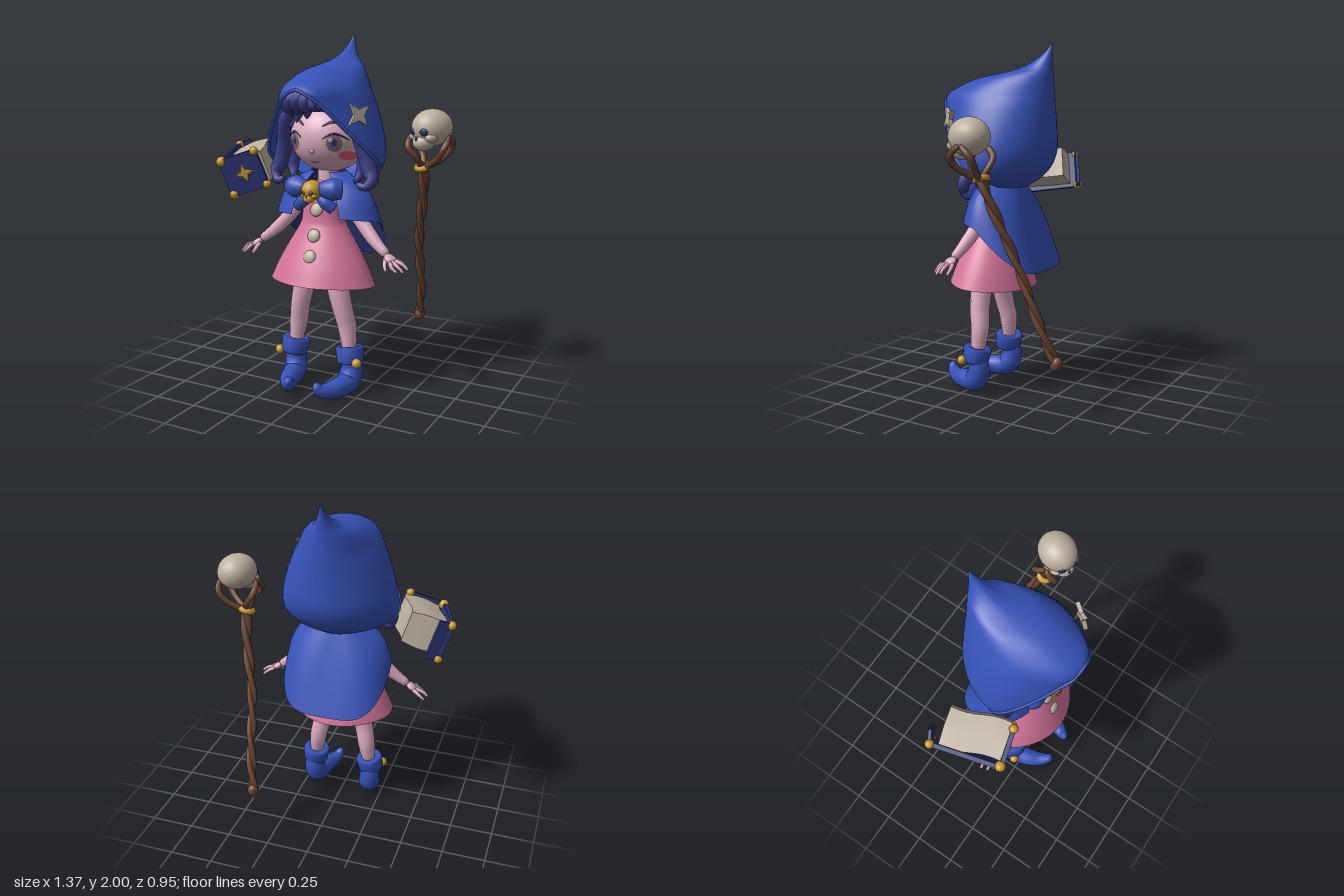
import * as THREE from 'three';
import { mergeVertices } from 'three/addons/utils/BufferGeometryUtils.js';

const V = (a) => new THREE.Vector3(...a);
const { lerp, clamp } = THREE.MathUtils;

// Smooth sheet from a function of (u, v)
function sheet(fn, nu, nv) {
  const pos = [], idx = [];
  for (let i = 0; i <= nu; i++) for (let j = 0; j <= nv; j++) {
    pos.push(...fn(i / nu, j / nv));
    if (i < nu && j < nv) {
      const a = i * (nv + 1) + j, b = a + nv + 1;
      idx.push(a, a + 1, b, b, a + 1, b + 1);
    }
  }
  const g = new THREE.BufferGeometry();
  g.setAttribute('position', new THREE.Float32BufferAttribute(pos, 3));
  g.setIndex(idx);
  g.computeVertexNormals();
  return g;
}

// Closed tube with a radius that changes along its path
function taper(points, radii, seg = 18, sides = 12) {
  const path = new THREE.CatmullRomCurve3(points.map(V));
  const g = new THREE.TubeGeometry(path, seg, 1, sides);
  const p = g.attributes.position, v = new THREE.Vector3();
  for (let i = 0; i <= seg; i++) {
    const c = path.getPointAt(i / seg), t = (i / seg) * (radii.length - 1);
    const k = Math.min(Math.floor(t), radii.length - 2);
    const r = i % seg ? lerp(radii[k], radii[k + 1], t - k) : 0;
    for (let j = 0; j <= sides; j++) {
      const n = i * (sides + 1) + j;
      v.fromBufferAttribute(p, n).sub(c).multiplyScalar(r).add(c);
      p.setXYZ(n, v.x, v.y, v.z);
    }
  }
  g.deleteAttribute('uv');
  g.deleteAttribute('normal');
  const m = mergeVertices(g, 1e-5);
  m.computeVertexNormals();
  return m;
}

// Catmull-Rom blend of table rows
function rowAt(rows, t) {
  const f = t * (rows.length - 1), i = Math.min(Math.floor(f), rows.length - 2), s = f - i;
  const R = (k) => rows[clamp(k, 0, rows.length - 1)];
  return rows[0].map((_, c) => {
    const a = R(i - 1)[c], b = R(i)[c], d = R(i + 1)[c], e = R(i + 2)[c];
    return b + 0.5 * s * (d - a + s * (2 * a - 5 * b + 4 * d - e + s * (3 * (b - d) + e - a)));
  });
}

function star(r, inner, depth) {
  const s = new THREE.Shape();
  for (let i = 0; i < 8; i++) {
    const q = i % 2 ? inner : r, a = (i * Math.PI) / 4;
    s[i ? 'lineTo' : 'moveTo'](q * Math.cos(a), q * Math.sin(a));
  }
  return new THREE.ExtrudeGeometry(s, { depth, bevelSize: 0.006, bevelThickness: 0.006, bevelSegments: 2 });
}

export function createModel() {
  const root = new THREE.Group();
  const M = (name, color, side = THREE.FrontSide) =>
    Object.assign(new THREE.MeshStandardMaterial({ color, side }), { name });
  const blue = M('blue cloth', 0x3652b8, THREE.DoubleSide), pink = M('pink cloth', 0xd4749a, THREE.DoubleSide);
  const hair = M('violet hair', 0x3c4088), navy = M('navy leather', 0x2b3470, THREE.DoubleSide), skin = M('skin', 0xdcaac0);
  const gold = M('gold', 0xc8982f), bone = M('bone', 0xbcb09e), wood = M('wood', 0x68442f);
  const blush = M('blush', 0xe0587e), iris = M('iris', 0x80586e);
  const add = (name, geo, mat, pos = [0, 0, 0], scale = [1, 1, 1], rot = [0, 0, 0], parent = root) => {
    const m = new THREE.Mesh(geo, mat);
    m.name = name;
    m.position.set(...pos); m.scale.set(...scale); m.rotation.set(...rot);
    parent.add(m);
    return m;
  };
  const ball = new THREE.SphereGeometry(1, 24, 16);

  // Hood rows: height, half width, back z, front z, brim z
  const hoodRows = [
    [2.0, 0.004, -0.213, -0.207, -0.207], [1.95, 0.02, -0.21, -0.16, -0.16], [1.9, 0.045, -0.208, -0.085, -0.085],
    [1.865, 0.075, -0.207, 0, 0], [1.842, 0.11, -0.207, 0.11, 0.11], [1.82, 0.143, -0.207, 0.24, 0.24],
    [1.78, 0.18, -0.207, 0.36, 0.36], [1.722, 0.218, -0.207, 0.465, 0.465], [1.645, 0.257, -0.207, 0.465, 0.42],
    [1.53, 0.3, -0.207, 0.465, 0.345], [1.43, 0.327, -0.205, 0.465, 0.265], [1.35, 0.338, -0.18, 0.455, 0.195],
    [1.29, 0.325, -0.14, 0.43, 0.125], [1.24, 0.26, -0.09, 0.37, 0.07], [1.2, 0.14, -0.03, 0.26, 0.05]];
  const hoodPoint = (u, v) => {
    const [y, w, b, f, brim] = rowAt(hoodRows, u);
    const c = (b + f) / 2, r = Math.max((f - b) / 2, 0.002);
    const end = u <= 0.5 ? Math.PI : Math.acos(clamp((c - brim) / r, -1, 1));
    const a = (v * 2 - 1) * end, narrow = Math.cos(a) < 0 ? 0.09 * Math.sin(2 * a) ** 2 : 0;
    return [w * Math.sin(a) * (1 - narrow), y, c - r * Math.cos(a)];
  };
  add('hood', sheet(hoodPoint, 56, 48), blue);
  const rim = [];
  for (let i = 0; i <= 12; i++) rim.push(hoodPoint(0.95 - i * 0.0375, 0));
  for (let i = 11; i >= 0; i--) rim.push(hoodPoint(0.95 - i * 0.0375, 1));
  add('hoodBrim', taper(rim, [0.01, 0.01], 70, 8), blue);
  add('hoodStar', star(0.07, 0.024, 0.014), bone, [0.272, 1.59, 0.285], [1, 1, 1], [-0.1, 0.95, 0.75]);

  // Cape, long behind and short over the shoulders, with a dark lining
  const capePoint = (u, v, inset) => {
    const a = (v * 2 - 1) * 2.66, s = Math.sin(a), c = Math.cos(a), bulge = Math.sin(Math.PI * u) * Math.abs(s);
    const k = 1 - inset, bx = 0.318 * Math.sign(s) * Math.abs(s) ** (c > 0 ? 0.5 : 0.95);
    const by = c > 0 ? 0.99 - 0.26 * c ** 0.9 : 0.99 - 0.035 * c;
    return [k * (lerp(0.1 * s, bx, u) + 0.04 * bulge * s), lerp(1.26, by, u) + 0.033 * bulge,
      0.1 + k * (lerp(-0.09 * c, -(c > 0 ? 0.28 : 0.19) * c, u) - 0.02 * bulge * c)];
  };
  add('cape', sheet((u, v) => capePoint(u, v, 0), 20, 48), blue);
  add('capeLining', sheet((u, v) => capePoint(u, v, 0.025 * u), 20, 48), navy);

  // Dress rows: height, half width, half depth, centre z
  const dressRows = [[1.21, 0.05, 0.045, 0.12], [1.13, 0.115, 0.095, 0.15], [1.0, 0.126, 0.1, 0.16],
    [0.95, 0.143, 0.115, 0.16], [0.85, 0.202, 0.16, 0.165], [0.74, 0.262, 0.205, 0.17], [0.635, 0.307, 0.24, 0.172]];
  add('dress', sheet((u, v) => {
    const [y, w, d, z] = rowAt(dressRows, u), a = v * Math.PI * 2;
    const wave = 1 + 0.02 * u ** 3 * Math.cos(4 * a);
    return [w * wave * Math.sin(a), y + 0.02 * u ** 4 * Math.cos(a), z + d * wave * Math.cos(a)];
  }, 24, 64), pink);
  add('shorts', ball, pink, [0, 0.71, 0.17], [0.15, 0.09, 0.11]);
  [[1.06, 0.262], [0.92, 0.295], [0.81, 0.342]].forEach(([y, z]) =>
    add('dressButton', ball, bone, [0.01, y, z], [0.038, 0.038, 0.02], [-0.35, 0, 0]));

  // Head and face
  const hc = [0, 1.45, 0.08], hr = [0.222, 0.2, 0.22];
  add('neck', new THREE.CylinderGeometry(0.055, 0.06, 0.14, 16), skin, [0, 1.23, 0.11]);
  add('head', new THREE.SphereGeometry(1, 40, 28), skin, hc, hr);
  add('nose', ball, skin, [0, 1.385, 0.292], [0.013, 0.014, 0.018]);
  const faceZ = (x, y) =>
    hc[2] + hr[2] * Math.sqrt(Math.max(0.02, 1 - (x / hr[0]) ** 2 - ((y - hc[1]) / hr[1]) ** 2));
  const onFace = (name, mat, x, y, w, h, lift) => add(name, sheet((u, v) => {
    const px = x + u * w * Math.cos(v * Math.PI * 2), py = y - u * h * Math.sin(v * Math.PI * 2);
    return [px * (1 + lift), py, faceZ(px, py) + lift];
  }, 6, 28), mat);
  const faceLine = (name, mat, pts, r) =>
    add(name, taper(pts.map(([x, y]) => [x, y, faceZ(x, y) + 0.005]), [r * 0.4, r, r * 0.4], 12, 6), mat);
  faceLine('mouth', blush, [[-0.025, 1.325], [0, 1.319], [0.025, 1.325]], 0.004);
  for (const s of [-1, 1]) {
    onFace('eyeWhite', bone, s * 0.122, 1.43, 0.06, 0.048, 0.003);
    onFace('iris', iris, s * 0.12, 1.432, 0.037, 0.045, 0.005);
    onFace('pupil', navy, s * 0.12, 1.437, 0.015, 0.022, 0.007);
    onFace('eyeGlint', bone, s * 0.12 - 0.015, 1.453, 0.011, 0.012, 0.009);
    onFace('cheek', blush, s * 0.163, 1.36, 0.034, 0.027, 0.003);
    faceLine('eyelash', navy, [[s * 0.062, 1.455], [s * 0.118, 1.483], [s * 0.17, 1.46], [s * 0.185, 1.445]], 0.006);
    faceLine('brow', iris, [[s * 0.055, 1.52], [s * 0.1, 1.543], [s * 0.14, 1.535]], 0.007);
    add('ear', ball, skin, [s * 0.215, 1.4, 0.09], [0.025, 0.045, 0.035]);
    // Side locks with curled ends
    add('sideLock', taper([[s * 0.15, 1.62, 0.24], [s * 0.215, 1.53, 0.21], [s * 0.25, 1.4, 0.16], [s * 0.28, 1.29, 0.16],
      [s * 0.305, 1.23, 0.18], [s * 0.265, 1.195, 0.2], [s * 0.225, 1.22, 0.21]],
    [0.025, 0.04, 0.046, 0.05, 0.046, 0.032, 0.014], 30), hair);
    add('innerLock', taper([[s * 0.2, 1.52, 0.19], [s * 0.235, 1.4, 0.12], [s * 0.22, 1.28, 0.12], [s * 0.19, 1.2, 0.16]],
      [0.03, 0.042, 0.042, 0.013]), hair);
  }
  add('hairCap', new THREE.SphereGeometry(1, 32, 16, 0, Math.PI * 2, 0, Math.PI / 2), hair,
    [0, 1.46, 0.08], [0.235, 0.22, 0.235], [-0.7, 0, 0]);
  [[-0.205, 1.45], [-0.175, 1.49], [-0.115, 1.53], [-0.04, 1.555], [0.03, 1.6], [0.095, 1.59], [0.155, 1.55], [0.205, 1.45]]
    .forEach(([x, y]) => add('bang', taper([[x * 0.4 + 0.01, 1.685, 0.25], [x * 0.7, 1.66, 0.31],
      [x * 0.93, (y + 1.66) / 2, faceZ(x * 0.9, 1.57) + 0.025], [x, y, faceZ(x, y) + 0.012]],
    [0.03, 0.047, 0.042, 0.005]), hair));

  // Skull ornament, facing +z, about one unit across
  const skull = (name, mat, hollow, pos, size, turn) => {
    const g = new THREE.Group();
    g.name = name;
    add('cranium', ball, mat, [0, 0.05, -0.08], [0.49, 0.47, 0.56], [0, 0, 0], g);
    add('jaw', ball, mat, [0, -0.3, 0.22], [0.28, 0.22, 0.28], [0, 0, 0], g);
    for (const s of [-1, 1]) {
      add('cheekbone', ball, mat, [s * 0.27, -0.17, 0.22], [0.14, 0.12, 0.18], [0, 0, 0], g);
      add('eyeSocket', ball, hollow, [s * 0.19, -0.03, 0.41], [0.105, 0.1, 0.05], [0.15, s * 0.4, 0], g);
    }
    add('noseHole', ball, hollow, [0, -0.2, 0.47], [0.035, 0.05, 0.04], [0, 0, 0], g);
    g.position.set(...pos); g.scale.setScalar(size); g.rotation.y = turn;
    root.add(g);
  };
  skull('broochSkull', gold, wood, [0.005, 1.17, 0.31], 0.118, 0);
  skull('staffSkull', bone, navy, [0.553, 1.5, -0.02], 0.216, -0.4);

  for (const s of [-1, 1]) {
    // Bow
    add('bowLoop', taper([[s * 0.015, 1.17, 0.275], [s * 0.06, 1.18, 0.28], [s * 0.115, 1.182, 0.265], [s * 0.16, 1.178, 0.235]],
      [0.022, 0.046, 0.064, 0.05]), blue);
    add('bowTail', taper([[s * 0.02, 1.15, 0.275], [s * 0.07, 1.105, 0.27], [s * 0.115, 1.065, 0.25]], [0.02, 0.034, 0.032]), blue);
    // Arm and hand
    add('arm', taper([[s * 0.13, 1.13, 0.13], [s * 0.22, 1.0, 0.14], [s * 0.32, 0.895, 0.165], [s * 0.41, 0.825, 0.185]],
      [0.045, 0.042, 0.037, 0.024]), skin);
    add('palm', ball, skin, [s * 0.425, 0.813, 0.19], [0.04, 0.02, 0.037], [0.2, 0, s * -0.6]);
    [[0.515, 0.755, 0.15], [0.53, 0.76, 0.185], [0.518, 0.752, 0.22], [0.49, 0.755, 0.245]].forEach(([x, y, z]) =>
      add('finger', taper([[s * 0.435, 0.81, lerp(z, 0.19, 0.35)], [s * (x - 0.035), y + 0.03, z], [s * x, y, z]],
        [0.013, 0.011, 0.007], 10, 8), skin));
    add('thumb', taper([[s * 0.4, 0.82, 0.2], [s * 0.41, 0.785, 0.235], [s * 0.425, 0.755, 0.25]], [0.014, 0.012, 0.008], 10, 8), skin);
    // Leg and curled boot
    add('leg', taper([[s * 0.085, 0.74, 0.18], [s * 0.11, 0.6, 0.192], [s * 0.137, 0.48, 0.188], [s * 0.157, 0.38, 0.173], [s * 0.177, 0.22, 0.18]],
      [0.072, 0.063, 0.057, 0.053, 0.035]), skin);
    add('boot', taper([[s * 0.18, 0.24, 0.18], [s * 0.185, 0.14, 0.165], [s * 0.175, 0.07, 0.195], [s * 0.155, 0.057, 0.29],
      [s * 0.12, 0.06, 0.37], [s * 0.095, 0.085, 0.41], [s * 0.085, 0.125, 0.418]],
    [0.05, 0.06, 0.068, 0.061, 0.054, 0.04, 0.018], 30, 16), blue);
    add('bootCuff', new THREE.LatheGeometry([[0.035, 0.045], [0.07, 0.055], [0.083, 0.04], [0.076, -0.035], [0.06, -0.045], [0.04, -0.04]]
      .reverse().map((p) => new THREE.Vector2(...p)), 24), blue, [s * 0.18, 0.22, 0.185], [1, 1, 1], [-0.15, 0, s * 0.12]);
    add('bootStud', ball, gold, [s * 0.248, 0.2, 0.24], [0.028, 0.028, 0.028]);
  }

  // Staff of two twisted strands
  const foot = V([0.35, 0.32, -0.43]), top = V([0.5, 1.31, -0.06]);
  for (let k = 0; k < 2; k++) {
    const pts = [];
    for (let i = 0; i <= 30; i++) {
      const t = i / 30, a = t * 17 + k * Math.PI, p = foot.clone().lerp(top, t);
      pts.push([p.x + 0.012 * Math.cos(a) + 0.01 * Math.sin(t * 9), p.y, p.z + 0.012 * Math.sin(a)]);
    }
    add('staffStrand', taper(pts, [0.019, 0.017, 0.022], 90, 8), wood);
  }
  add('staffKnob', ball, wood, [0.352, 0.315, -0.435], [0.034, 0.043, 0.034], [-0.35, 0, 0]);
  add('staffRing', new THREE.TorusGeometry(0.034, 0.018, 10, 24), gold, [0.5, 1.29, -0.065], [1, 1, 1], [Math.PI / 2 + 0.3, 0.15, 0]);
  for (const s of [-1, 1]) for (const d of [-1, 1]) {
    add('staffProng', taper([[0.503, 1.28, -0.06], [0.545 + s * 0.06, 1.345, -0.05 + d * 0.05], [0.548 + s * 0.103, 1.405, -0.04 + d * 0.065],
      [0.548 + s * 0.11, 1.455, -0.04 + d * 0.02], [0.55 + s * 0.1, 1.475, -0.04]], [0.019, 0.018, 0.018, 0.019, 0.013], 20, 8), wood);
  }

  // Floating book, opened to a right angle and full of pages
  const book = new THREE.Group();
  book.name = 'book';
  const X = V([0.9, 0.33, -0.23]).normalize(), Z = X.clone().cross(V([-0.22, 0.95, 0.2])).normalize();
  book.applyMatrix4(new THREE.Matrix4().makeBasis(X, Z.clone().cross(X), Z));
  book.position.set(-0.487, 1.265, 0.115);
  root.add(book);
  const box = (name, mat, size, pos, rot) => add(name, new THREE.BoxGeometry(...size), mat, pos, [1, 1, 1], rot, book);
  box('frontCover', navy, [0.225, 0.225, 0.025], [0, 0, 0.2]);
  box('sideCover', navy, [0.025, 0.225, 0.41], [-0.112, 0, 0]);
  box('coverFlap', navy, [0.075, 0.225, 0.02], [-0.075, 0, -0.2], [0, 0.3, 0]);
  const pages = new THREE.BoxGeometry(0.21, 0.185, 0.34, 6, 1, 8), pp = pages.attributes.position;
  for (let i = 0; i < pp.count; i++) {
    const x = pp.getX(i), z = pp.getZ(i);
    pp.setXYZ(i, x + 0.015 * Math.sin(z * 14), pp.getY(i) * (1 + 0.06 * Math.cos(x * 25)), z + 0.03 * Math.abs(x) * Math.sign(-z));
  }
  pages.computeVertexNormals();
  add('pages', pages, bone, [0.012, 0, 0.02], [1, 1, 1], [0, 0, 0], book);
  add('bookStar', star(0.05, 0.016, 0.002), gold, [0.005, 0, 0.213], [1, 1, 0.8], [0, 0, 0], book);
  for (const y of [-0.1, 0.1]) for (const [x, z, r] of [[-0.106, 0.195, 0.03], [0.1, 0.2, 0.025], [-0.112, -0.19, 0.026]])
    add('bookCorner', ball, gold, [x, y, z], [r, r, r], [0, 0, 0], book);

  return root;
}
